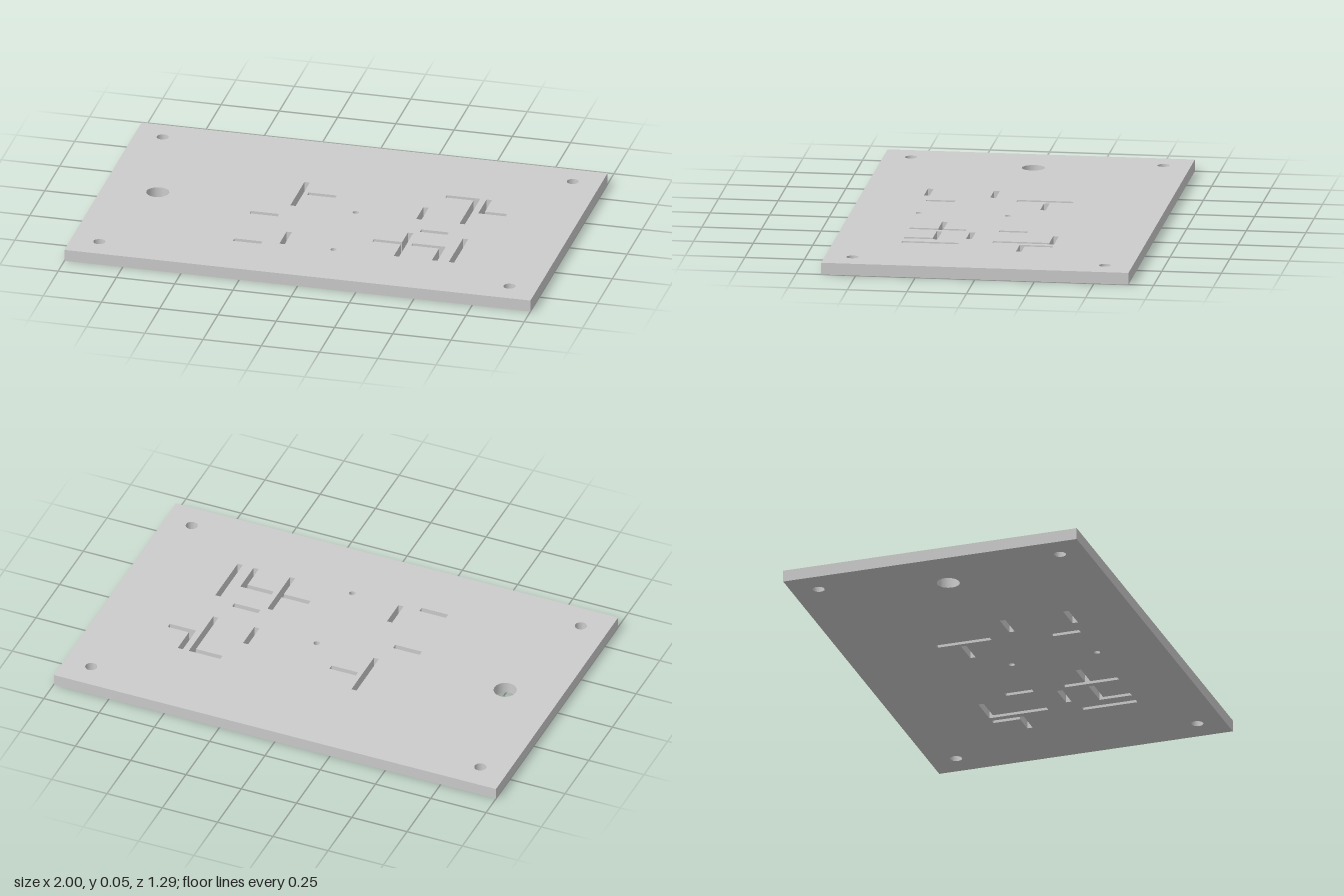
import * as THREE from 'three';

const WIDTH = 2, DEPTH = 1.29, THICKNESS = 0.05;

// Closed outline from [x, z] corners
const outline = (corners, Type = THREE.Path) =>
  new Type(corners.map(([x, z]) => new THREE.Vector2(x, z)));

const rect = (x0, x1, z0, z1, Type) =>
  outline([[x0, z0], [x1, z0], [x1, z1], [x0, z1]], Type);

const circle = (x, z, r) => new THREE.Path().absarc(x, z, r, 0, Math.PI * 2, true);

export function createModel() {
  const group = new THREE.Group();
  const plate = rect(-WIDTH / 2, WIDTH / 2, -DEPTH / 2, DEPTH / 2, THREE.Shape);

  // Corner mounting holes
  for (const x of [-0.88, 0.88])
    for (const z of [-0.53, 0.53]) plate.holes.push(circle(x, z, 0.025));

  // Large hole and two pin holes
  plate.holes.push(circle(-0.765, 0, 0.048), circle(0.082, -0.012, 0.013), circle(0.082, 0.363, 0.013));

  // Straight slots: x0, x1, z0, z1
  const slots = [
    [-0.199, -0.176, -0.248, -0.012],
    [-0.156, -0.036, -0.153, -0.13],
    [-0.343, -0.223, 0.082, 0.106],
    [-0.343, -0.223, 0.36, 0.384],
    [-0.15, -0.127, 0.242, 0.363],
    [0.341, 0.364, -0.132, -0.012],
    [0.387, 0.505, 0.082, 0.106],
    [0.577, 0.6, 0.126, 0.363],
  ];
  for (const s of slots) plate.holes.push(rect(...s));

  // L and T shaped slots
  plate.holes.push(
    outline([[0.407, -0.27], [0.55, -0.27], [0.55, -0.012], [0.527, -0.012], [0.527, -0.247], [0.407, -0.247]]),
    outline([[0.577, -0.27], [0.6, -0.27], [0.6, -0.153], [0.695, -0.153], [0.695, -0.13], [0.577, -0.13]]),
    outline([[0.387, 0.222], [0.528, 0.222], [0.528, 0.363], [0.505, 0.363], [0.505, 0.245], [0.387, 0.245]]),
    outline([[0.22, 0.222], [0.341, 0.222], [0.341, 0.126], [0.364, 0.126],
      [0.364, 0.363], [0.341, 0.363], [0.341, 0.245], [0.22, 0.245]]),
  );

  // Lay the extruded plate flat on the ground
  const geometry = new THREE.ExtrudeGeometry(plate, { depth: THICKNESS, bevelEnabled: false, curveSegments: 32 });
  geometry.rotateX(Math.PI / 2).translate(0, THICKNESS, 0);
  const mesh = new THREE.Mesh(geometry, new THREE.MeshStandardMaterial({ color: 0xcccccc }));
  mesh.name = 'slottedPlate';
  group.add(mesh);
  return group;
}
